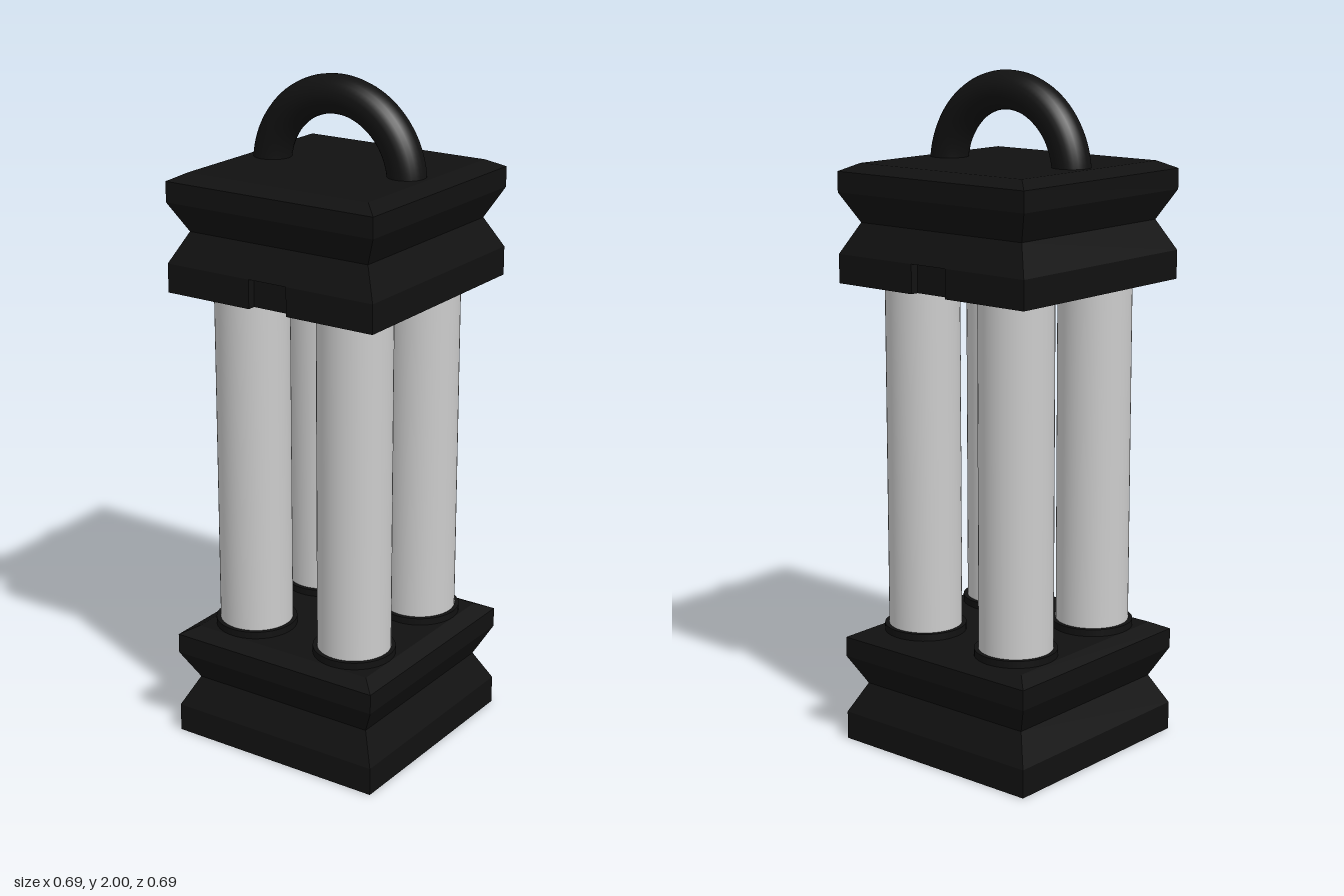
import * as THREE from 'three';

const black = new THREE.MeshStandardMaterial({ color: 0x111111 });
const blackFlat = new THREE.MeshStandardMaterial({ color: 0x111111, flatShading: true });
const grey = new THREE.MeshStandardMaterial({ color: 0xcccccc });

const HALF = 0.346;   // half width of the square blocks
const WAIST = 0.3;    // half width at the groove and the top face
const COLUMN = 0.177; // column offset from the centre

function add(parent, name, geometry, material, x = 0, y = 0, z = 0) {
  const mesh = new THREE.Mesh(geometry, material);
  mesh.name = name;
  mesh.position.set(x, y, z);
  parent.add(mesh);
  return mesh;
}

// Square block turned from [half width, height] pairs, bottom to top
function squareBlock(profile) {
  const points = profile.map(([half, y]) => new THREE.Vector2(half * Math.SQRT2, y));
  return new THREE.LatheGeometry(points, 4, Math.PI / 4);
}

// Grooved part above the straight band, chamfered at the top
const grooved = [
  [0, 0.085], [HALF, 0.085], [WAIST, 0.175], [HALF, 0.262],
  [HALF, 0.322], [WAIST, 0.345], [0, 0.345],
];

// Straight band with a shallow notch in the front and the back
function notchedBand(height) {
  const w = 0.063, inner = HALF - 0.025;
  const shape = new THREE.Shape([
    [-HALF, -HALF], [-w, -HALF], [-w, -inner], [w, -inner], [w, -HALF], [HALF, -HALF],
    [HALF, HALF], [w, HALF], [w, inner], [-w, inner], [-w, HALF], [-HALF, HALF],
  ].map(([x, y]) => new THREE.Vector2(x, y)));
  return new THREE.ExtrudeGeometry(shape, { depth: height, bevelEnabled: false })
    .rotateX(-Math.PI / 2);
}

export function createModel() {
  const model = new THREE.Group();
  model.name = 'columnLantern';

  // Base block
  add(model, 'base', squareBlock([[0, 0], [HALF, 0], ...grooved.slice(1)]), blackFlat);

  // Cap block: notched band below, the same grooved moulding above
  const cap = new THREE.Group();
  cap.name = 'cap';
  cap.position.y = 1.395;
  model.add(cap);
  add(cap, 'capBand', notchedBand(0.085), blackFlat);
  add(cap, 'capMoulding', squareBlock(grooved), blackFlat);

  // Four columns, each standing in a low collar
  const columnGeometry = new THREE.CylinderGeometry(0.109, 0.109, 1.08, 48);
  const collarGeometry = new THREE.CylinderGeometry(0.122, 0.122, 0.04, 48);
  for (const sx of [-1, 1]) {
    for (const sz of [-1, 1]) {
      add(model, 'column', columnGeometry, grey, sx * COLUMN, 0.87, sz * COLUMN);
      add(model, 'collar', collarGeometry, black, sx * COLUMN, 0.346, sz * COLUMN);
    }
  }

  // Arched carrying handle
  add(model, 'handle', new THREE.TorusGeometry(0.23, 0.056, 24, 48, Math.PI), black, 0, 1.714, 0);

  return model;
}
